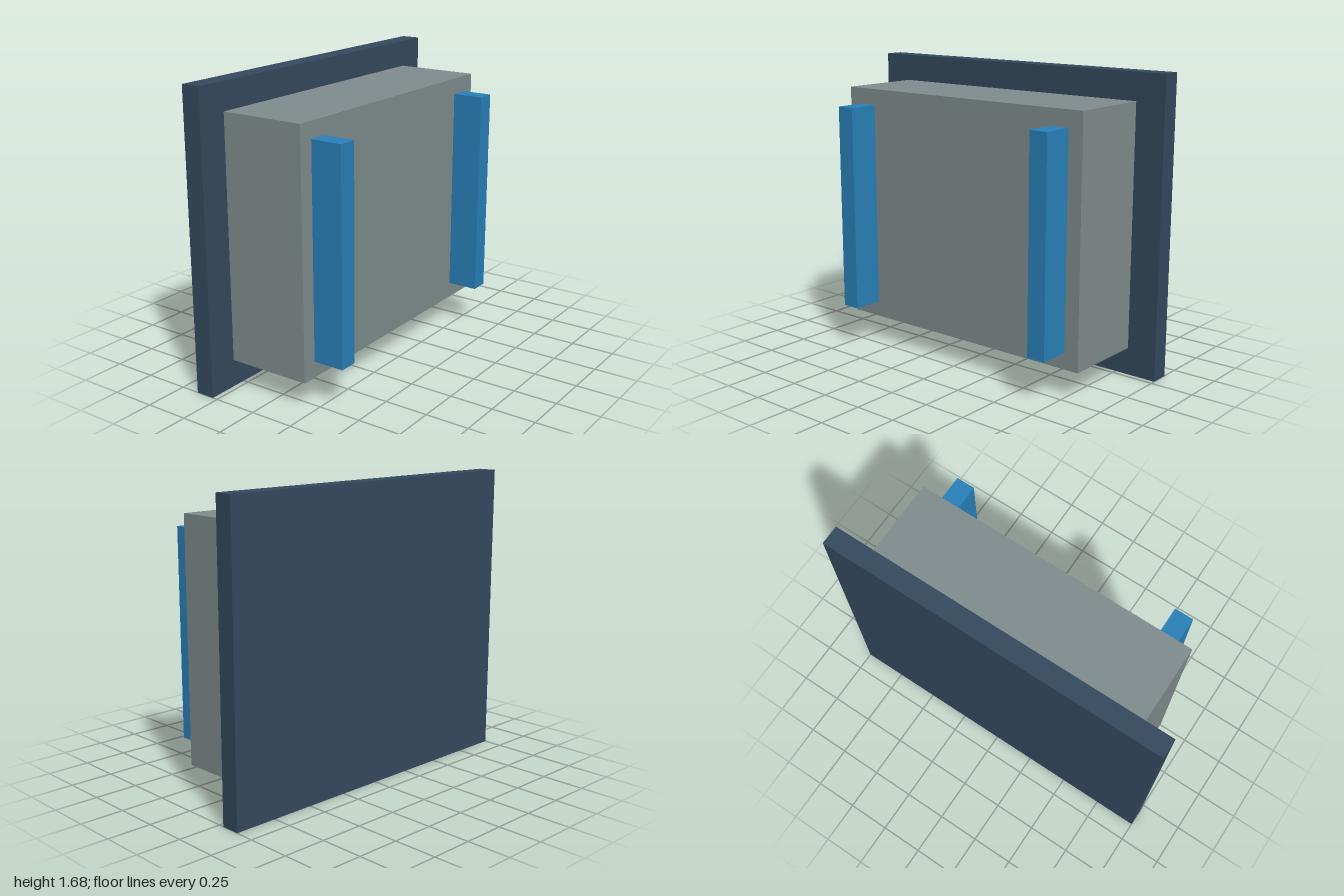
import * as THREE from 'three';

// Box given by its lower and upper limits on each axis
function block(name, color, [x0, x1], [y0, y1], [z0, z1]) {
  const mesh = new THREE.Mesh(
    new THREE.BoxGeometry(x1 - x0, y1 - y0, z1 - z0),
    new THREE.MeshStandardMaterial({ color })
  );
  mesh.position.set((x0 + x1) / 2, (y0 + y1) / 2, (z0 + z1) / 2);
  mesh.name = name;
  return mesh;
}

export function createModel() {
  const model = new THREE.Group();
  model.name = 'wallUnit';

  // Wide mounting plate at the back
  model.add(block('backPlate', 0x34495e, [-1, 1], [0, 1.685], [-0.39, -0.28]));

  // Main housing
  model.add(block('housing', 0x7f8c8d, [-0.826, 0.826], [0.155, 1.53], [-0.28, 0.21]));

  // Upright rails on the front, mirrored
  const rail = (name, x) =>
    block(name, 0x2980b9, [x - 0.054, x + 0.054], [0.247, 1.438], [0.21, 0.39]);
  model.add(rail('leftRail', 0.686), rail('rightRail', -0.686));

  return model;
}
